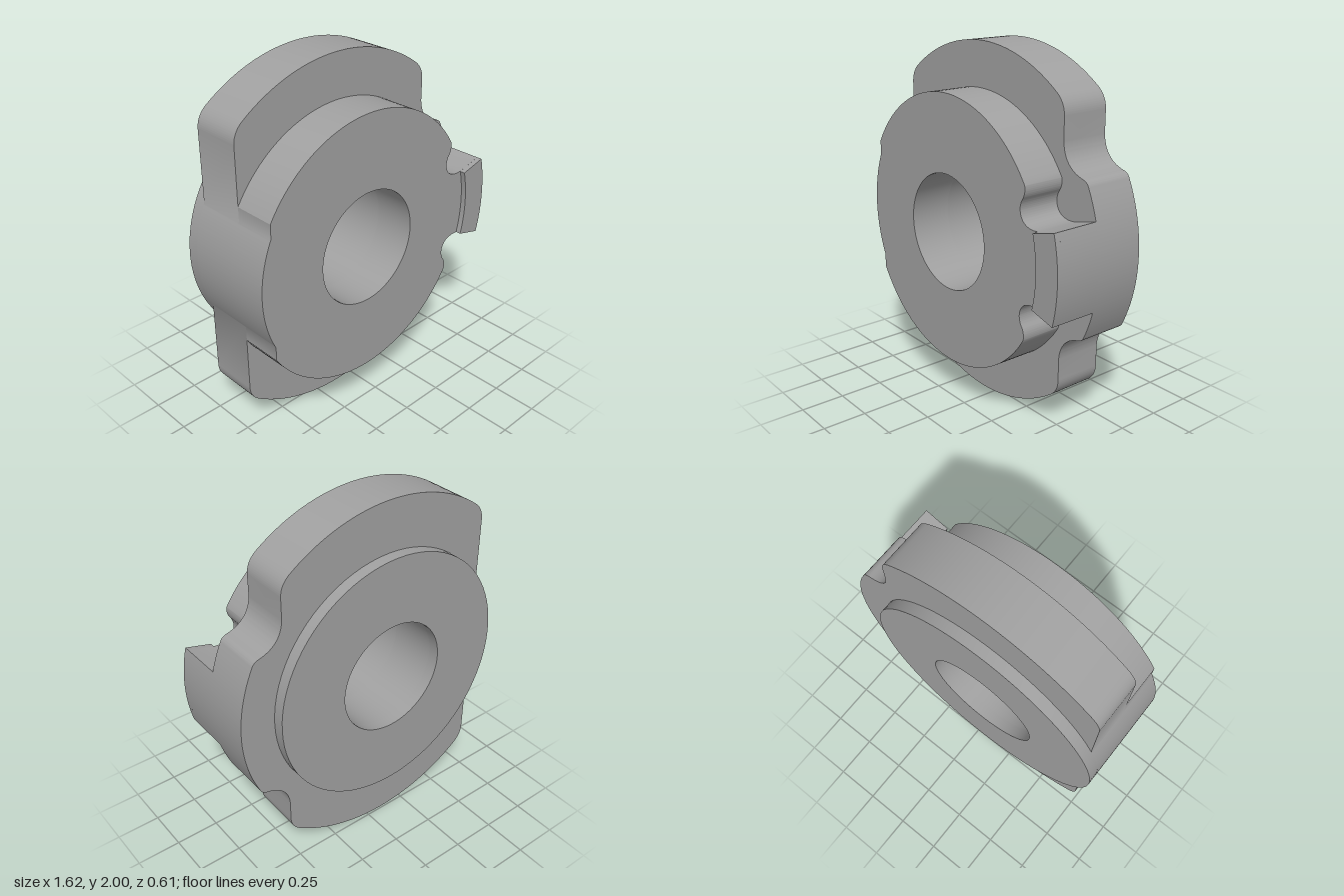
import * as THREE from 'three';
import { toCreasedNormals } from 'three/addons/utils/BufferGeometryUtils.js';

const BORE = 0.323;   // central hole
const HUB = 0.715;    // rear hub and left bulge
const BOSS = 0.7525;  // front boss
const PLATE = 1.0;    // flange top and bottom arcs
const TAB = 0.91;     // outer face of the right-hand tab
const FLAT = 0.645;   // half width between the flange flats
const LUG = 0.261;    // half angle of the front lug

const polar = (r, a) => [r * Math.cos(a), r * Math.sin(a)];

// Close an upper-half outline (running from +x round to -x) by mirroring it in y.
function mirrored(path) {
  const top = path.getPoints(24);
  const bottom = top.slice(1, -1).reverse().map((p) => new THREE.Vector2(p.x, -p.y));
  return new THREE.Shape([...top, ...bottom]);
}

function addBore(shape) {
  shape.holes.push(new THREE.Path().absarc(0, 0, BORE, 0, Math.PI * 2, true));
  return shape;
}

// Flange: rounded corners, left bulge, and a tab with hollow fillets on the right
function flangeShape() {
  const corner = 0.941;
  const bulge = Math.acos(FLAT / HUB);
  const p = new THREE.Path();
  p.moveTo(TAB, 0);
  p.absarc(0, 0, TAB, 0, 0.44, false);
  p.quadraticCurveTo(0.813, 0.413, 0.785, 0.42);
  p.quadraticCurveTo(0.655, 0.45, FLAT, 0.58);
  p.lineTo(FLAT, 0.7);
  p.quadraticCurveTo(FLAT, 0.766, ...polar(PLATE, corner));
  p.absarc(0, 0, PLATE, corner, Math.PI - corner, false);
  p.quadraticCurveTo(-FLAT, 0.766, -FLAT, 0.7);
  p.absarc(0, 0, HUB, Math.PI - bulge, Math.PI, false);
  return addBore(mirrored(p));
}

// Boss: disc with an arm to the tab, a relief groove on each side of the arm
function bossShape() {
  const start = 0.562;
  const end = Math.PI - Math.acos(FLAT / BOSS);
  const bulge = Math.acos(FLAT / HUB);
  const p = new THREE.Path();
  p.moveTo(TAB, 0);
  p.absarc(0, 0, TAB, 0, LUG, false);
  p.lineTo(0.735, 0.197);
  p.lineTo(0.7, 0.195);
  p.quadraticCurveTo(0.612, 0.2, 0.605, 0.275);
  p.quadraticCurveTo(0.605, 0.305, 0.622, 0.33);
  p.quadraticCurveTo(0.645, 0.362, ...polar(BOSS, start));
  p.absarc(0, 0, BOSS, start, end, false);
  p.absarc(0, 0, HUB, Math.PI - bulge, Math.PI, false);
  return addBore(mirrored(p));
}

// Rear hub: plain ring
function hubShape() {
  return addBore(new THREE.Shape().absarc(0, 0, HUB, 0, Math.PI * 2, false));
}

// Lug: raised ring sector on the end of the arm
function lugShape() {
  const s = new THREE.Shape();
  s.absarc(0, 0, TAB, -LUG, LUG, false);
  s.absarc(0, 0, 0.757, LUG, -LUG, true);
  return s;
}

export function createModel() {
  const group = new THREE.Group();
  group.name = 'flangedCam';
  const grey = new THREE.MeshStandardMaterial({ color: 0xa0a0a0 });
  grey.name = 'plain grey';

  const layers = [
    ['rearHub', hubShape(), -0.305, -0.24],
    ['flange', flangeShape(), -0.24, 0.038],
    ['frontBoss', bossShape(), 0.038, 0.275],
    ['lug', lugShape(), 0.275, 0.305],
  ];
  for (const [name, shape, back, front] of layers) {
    const geometry = new THREE.ExtrudeGeometry(shape, {
      depth: front - back, bevelEnabled: false, curveSegments: 40,
    });
    geometry.translate(-0.1, 1, back);
    geometry.clearGroups();
    const mesh = new THREE.Mesh(toCreasedNormals(geometry, 0.45), grey);
    mesh.name = name;
    group.add(mesh);
  }
  return group;
}
